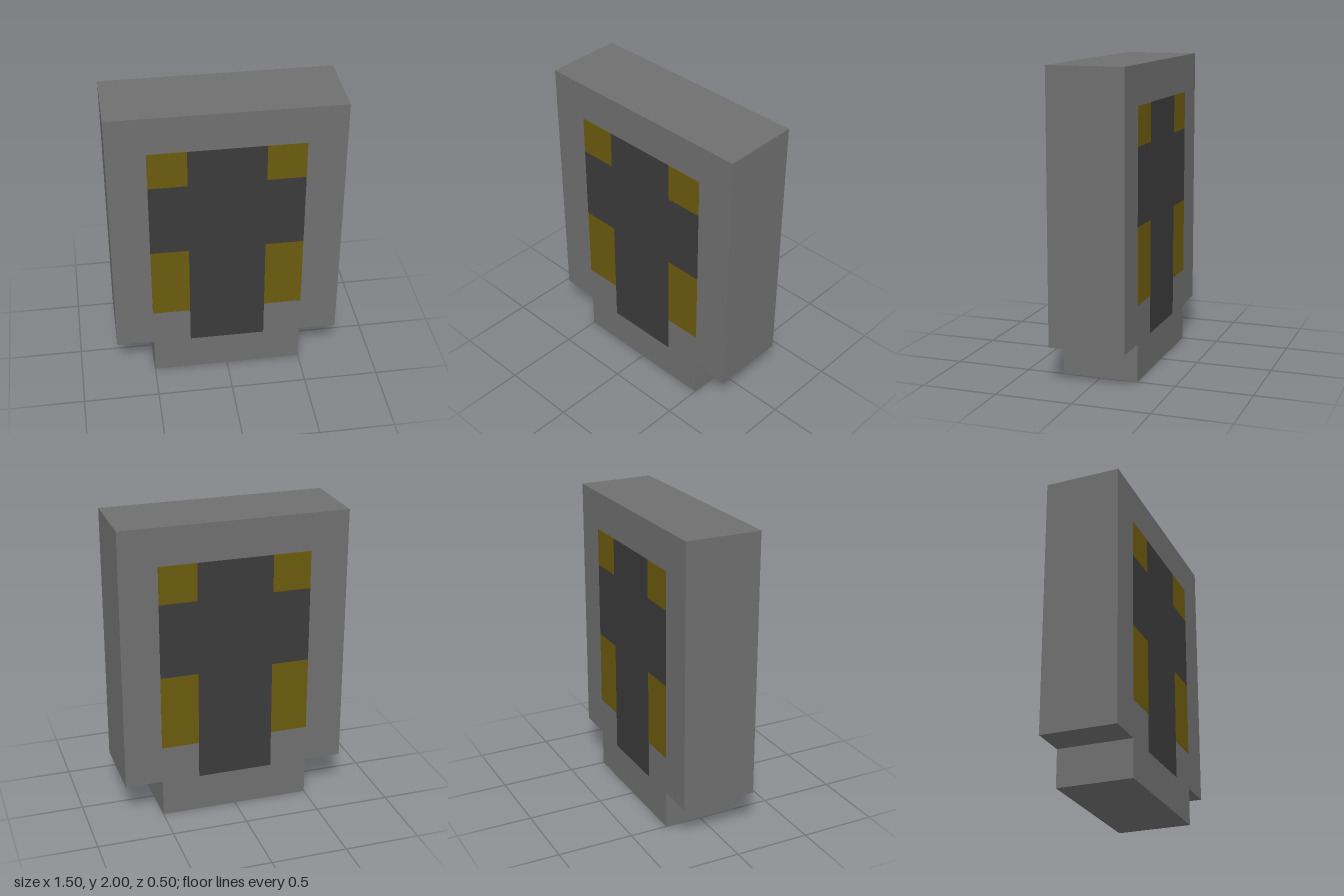
import * as THREE from 'three';

const HALF_DEPTH = 0.25;

export function createModel() {
  const stone = new THREE.MeshStandardMaterial({ name: 'stone grey', color: 0x6f6f6f });
  const dark = new THREE.MeshStandardMaterial({ name: 'dark grey', color: 0x3b3b3b });
  const gold = new THREE.MeshStandardMaterial({ name: 'dull gold', color: 0x6b5a0d });

  const group = new THREE.Group();
  group.name = 'slab';

  // Slab outline with a narrower foot
  const outline = [[-0.5, 0], [0.5, 0], [0.5, 0.25], [0.75, 0.25], [0.75, 2], [-0.75, 2], [-0.75, 0.25], [-0.5, 0.25]];
  const shape = new THREE.Shape(outline.map(([x, y]) => new THREE.Vector2(x, y)));
  const bodyGeometry = new THREE.ExtrudeGeometry(shape, { depth: HALF_DEPTH * 2, bevelEnabled: false });
  bodyGeometry.translate(0, 0, -HALF_DEPTH);
  const body = new THREE.Mesh(bodyGeometry, stone);
  body.name = 'body';
  group.add(body);

  // Thin painted plate lying on the front (side 1) or back (side -1)
  const plate = (name, material, x0, x1, y0, y1, side) => {
    const mesh = new THREE.Mesh(new THREE.BoxGeometry(x1 - x0, y1 - y0, 0.004), material);
    mesh.position.set((x0 + x1) / 2, (y0 + y1) / 2, side * HALF_DEPTH);
    mesh.name = name;
    group.add(mesh);
  };

  for (const side of [1, -1]) {
    // Dark cross: upright and two arms
    plate('crossUpright', dark, -0.25, 0.25, 0.25, 1.75, side);
    for (const [x0, x1] of [[-0.5, -0.25], [0.25, 0.5]]) {
      plate('crossArm', dark, x0, x1, 1, 1.5, side);
      // Gold panels in the corners of the cross
      plate('upperPanel', gold, x0, x1, 1.5, 1.75, side);
      plate('lowerPanel', gold, x0, x1, 0.5, 1, side);
    }
  }
  return group;
}
